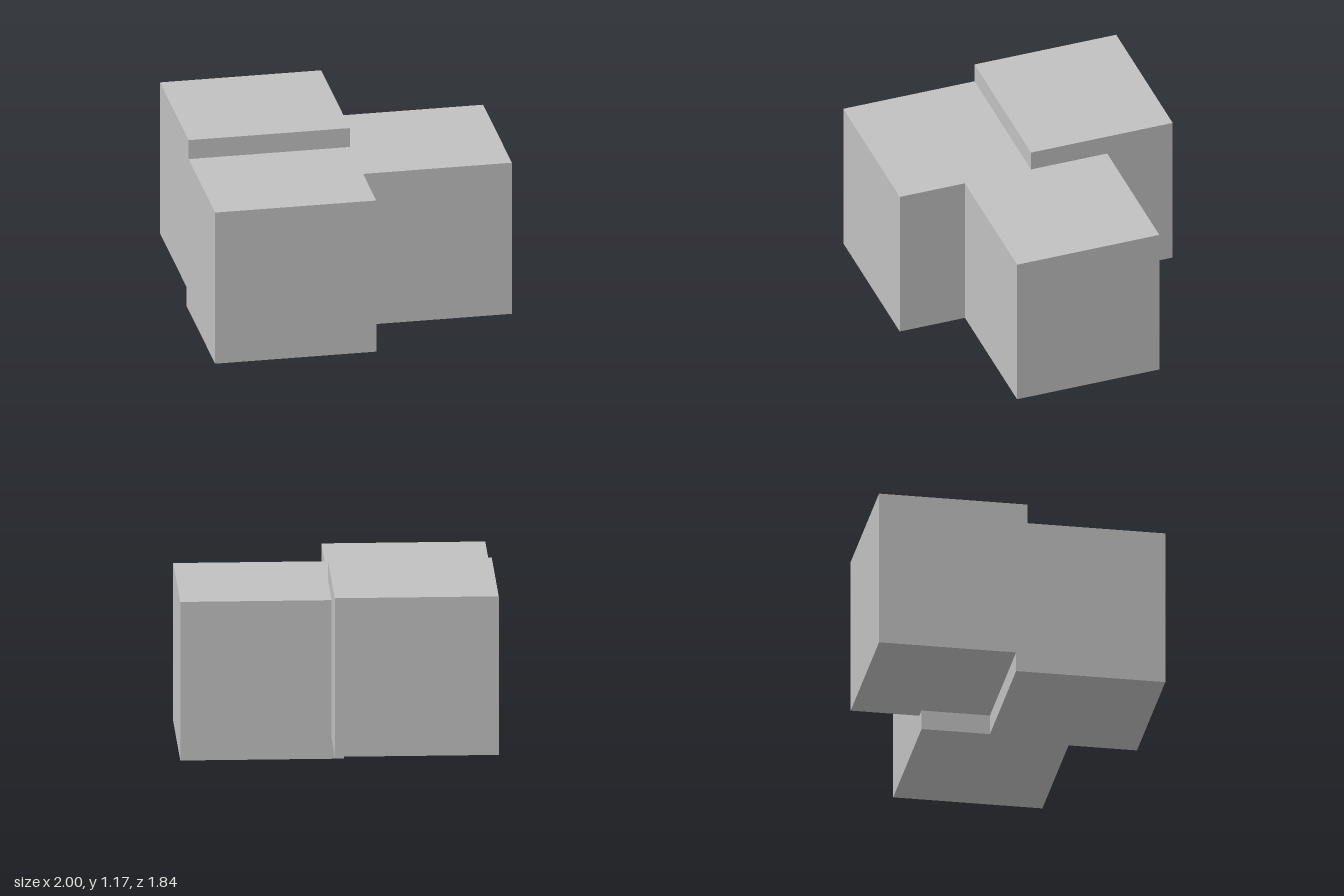
import * as THREE from 'three';

export function createModel() {
  const model = new THREE.Group();
  model.name = 'interlockedBlocks';

  const grey = new THREE.MeshStandardMaterial({ color: 0xc0c0c0 });
  grey.name = 'light grey';

  const height = 1.04;

  // Lower body: front block and side block merged into one stepped outline (x, -z)
  const outline = new THREE.Shape([
    [-1, -0.92], [0.04, -0.92], [0.04, -0.48], [1, -0.48],
    [1, 0.48], [-0.04, 0.48], [-0.04, 0.04], [-1, 0.04],
  ].map(([x, y]) => new THREE.Vector2(x, y)));
  const lowerGeometry = new THREE.ExtrudeGeometry(outline, { depth: height, bevelEnabled: false });
  lowerGeometry.rotateX(-Math.PI / 2);
  const lowerBody = new THREE.Mesh(lowerGeometry, grey);
  lowerBody.name = 'lowerBody';
  model.add(lowerBody);

  // Raised block at the back, sunk into the lower body
  const raisedBlock = new THREE.Mesh(new THREE.BoxGeometry(1.04, height, 0.956), grey);
  raisedBlock.name = 'raisedBlock';
  raisedBlock.position.set(-0.48, 0.13 + height / 2, -0.444);
  model.add(raisedBlock);

  return model;
}
